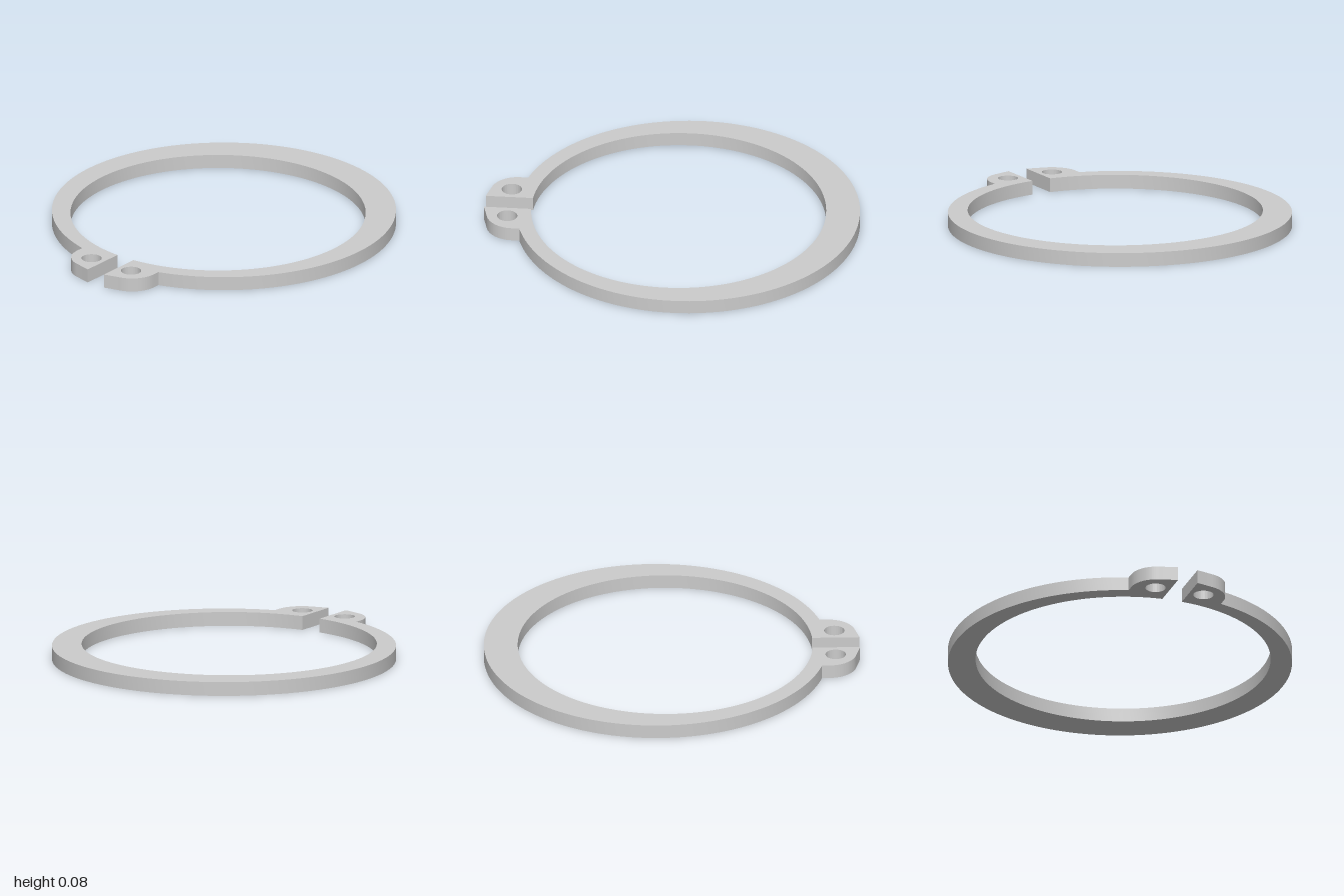
import * as THREE from 'three';
import { toCreasedNormals } from 'three/addons/utils/BufferGeometryUtils.js';

const THICKNESS = 0.075;
const OUTER = { z: -0.085, r: 0.915 }; // eccentric circles: the ring thins towards the gap
const INNER = { z: -0.035, r: 0.785 };
const GAP = 0.055;                     // half width of the gap
const LUG = { x: 0.26, z: 0.835, r: 0.145, end: 1.0 };
const HOLE = { x: 0.135, z: 0.868, r: 0.054 };

// Plan outline of the ring with both lugs, drawn in (x, z)
function ringShape() {
  const outerAngle = Math.acos(LUG.x / OUTER.r);
  const innerAngle = Math.acos(GAP / INNER.r);
  const cornerAngle = 1.37;
  const cornerX = LUG.x - LUG.r;
  const shape = new THREE.Shape();

  // Left lug
  shape.moveTo(GAP, INNER.z + INNER.r * Math.sin(innerAngle));
  shape.lineTo(GAP, LUG.end);
  shape.absarc(cornerX, LUG.z, LUG.r, cornerAngle, 0, true);
  // Outer edge around the back
  shape.absarc(0, OUTER.z, OUTER.r, outerAngle, Math.PI - outerAngle, true);
  // Right lug
  shape.absarc(-cornerX, LUG.z, LUG.r, Math.PI, Math.PI - cornerAngle, true);
  shape.lineTo(-GAP, LUG.end);
  // Inner edge back to the start
  shape.absarc(0, INNER.z, INNER.r, Math.PI - innerAngle, innerAngle, false);
  shape.closePath();

  // Plier holes
  for (const side of [1, -1]) {
    const hole = new THREE.Path();
    hole.absarc(side * HOLE.x, HOLE.z, HOLE.r, 0, Math.PI * 2, false);
    shape.holes.push(hole);
  }
  return shape;
}

export function createModel() {
  const group = new THREE.Group();
  group.name = 'retainingRing';

  const flat = new THREE.ExtrudeGeometry(ringShape(), {
    depth: THICKNESS, bevelEnabled: false, curveSegments: 64,
  });
  // Lay the plate flat, standing on the ground
  flat.rotateX(Math.PI / 2).translate(0, THICKNESS, 0);

  const ring = new THREE.Mesh(
    toCreasedNormals(flat, 0.5),
    new THREE.MeshStandardMaterial({ color: 0xcccccc }),
  );
  ring.name = 'ringWithLugs';
  group.add(ring);
  return group;
}
